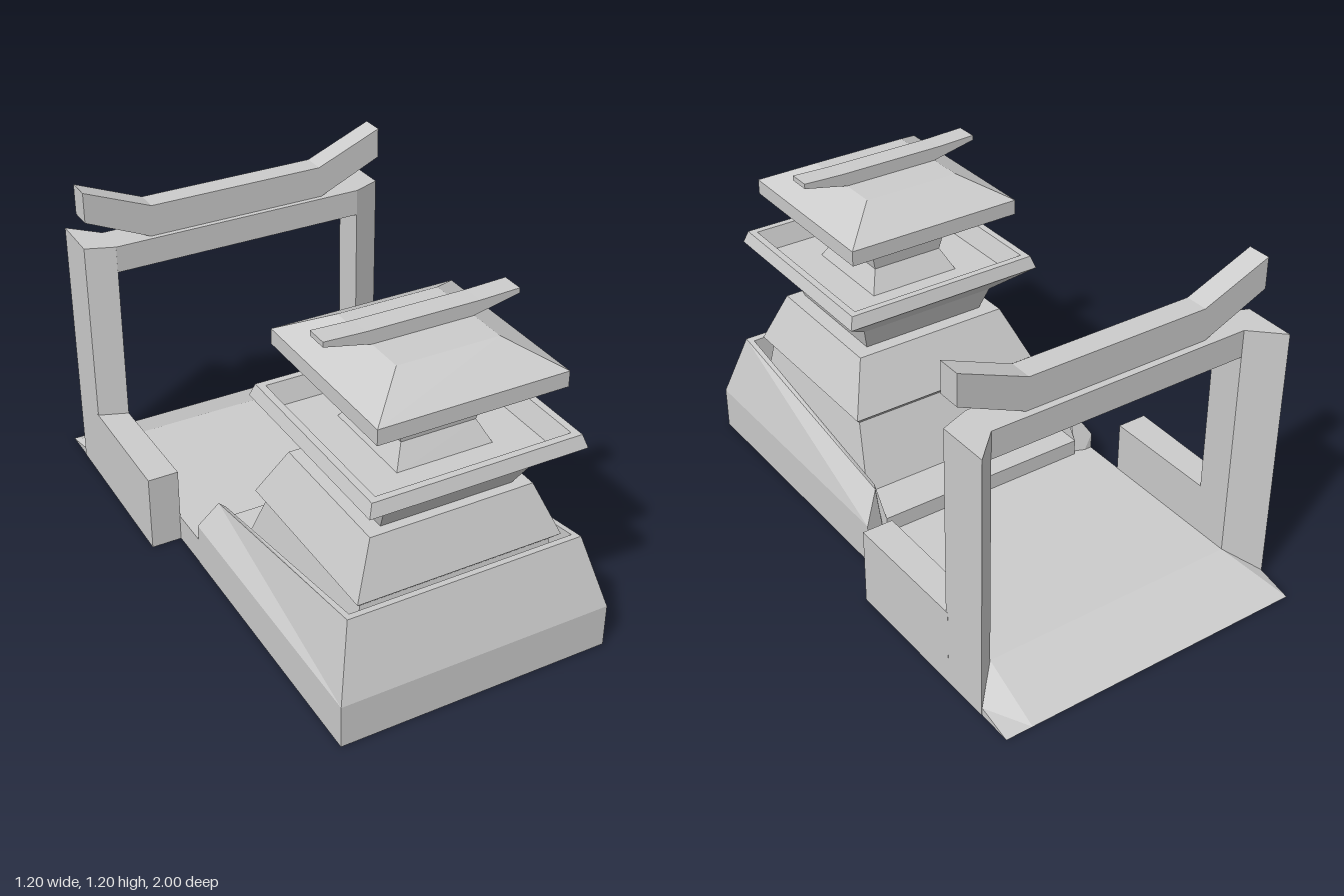
import * as THREE from 'three';

const material = new THREE.MeshStandardMaterial({ color: 0xcccccc, flatShading: true });

// Skin a row of matching rings (counter-clockwise seen from the end), capped at both ends
function loft(rings) {
  const pos = [];
  const tri = (a, b, c) => pos.push(...a, ...b, ...c);
  for (let r = 0; r < rings.length - 1; r++) {
    const a = rings[r], b = rings[r + 1];
    for (let i = 0; i < a.length; i++) {
      const j = (i + 1) % a.length;
      tri(a[i], a[j], b[j]);
      tri(a[i], b[j], b[i]);
    }
  }
  const first = rings[0], last = rings[rings.length - 1];
  for (let i = 1; i < first.length - 1; i++) {
    tri(first[0], first[i + 1], first[i]);
    tri(last[0], last[i], last[i + 1]);
  }
  const g = new THREE.BufferGeometry();
  g.setAttribute('position', new THREE.Float32BufferAttribute(pos, 3));
  g.computeVertexNormals();
  return g;
}

// Stack of rectangles, each level given as [y, half width, back z, front z]
const stack = (levels) => loft(levels.map(([y, x, z0, z1]) =>
  [[-x, y, z1], [x, y, z1], [x, y, z0], [-x, y, z0]]));

// Upright prism on an [x, z] footprint, mirrored for side = -1
function prism(footprint, y0, y1, side) {
  const pts = footprint.map(([x, z]) => [x * side, z]);
  if (side < 0) pts.reverse();
  return loft([y0, y1].map((y) => pts.map(([x, z]) => [x, y, z])));
}

// Front-view outline with depth from z0 to z1
function beam(points, z0, z1) {
  const shape = new THREE.Shape(points.map(([x, y]) => new THREE.Vector2(x, y)));
  return new THREE.ExtrudeGeometry(shape, { depth: z1 - z0, bevelEnabled: false }).translate(0, 0, z0);
}

const mirrorRing = (ring) => ring.map(([x, y, z]) => [-x, y, z]);

export function createModel() {
  const model = new THREE.Group();
  const add = (name, geometry) => {
    const mesh = new THREE.Mesh(geometry, material);
    mesh.name = name;
    model.add(mesh);
  };

  // Walkway and the ramp at its back
  add('walkway', stack([[0, 0.487, -0.77, 0], [0.1, 0.487, -0.77, 0]]));
  const rampMid = [[0.485, 0, -0.77], [0.485, 0, -1], [0.485, 0.1, -0.77]];
  const rampEnd = [[0.585, 0, -0.87], [0.585, 0, -1], [0.585, 0.03, -0.87]];
  add('ramp', loft([mirrorRing(rampEnd), mirrorRing(rampMid), rampMid, rampEnd]));

  // U-shaped sloping wall around the tower foot
  const wallBack = [[0.41, 0, -0.04], [0.488, 0, -0.04], [0.488, 0.16, -0.04],
    [0.425, 0.265, 0.005], [0.41, 0.262, 0.035], [0.41, 0.16, -0.04]];
  const wallFront = [[0.41, 0, 0.89], [0.497, 0, 1], [0.497, 0.16, 1],
    [0.43, 0.413, 0.915], [0.41, 0.41, 0.89], [0.41, 0.16, 0.89]];
  add('baseWall', loft([wallBack, wallFront, mirrorRing(wallFront), mirrorRing(wallBack)]));
  add('baseFloor', stack([[0, 0.41, -0.04, 0.89], [0.16, 0.41, -0.04, 0.89]]));

  // Tower: foot and lower storey
  add('towerFoot', stack([
    [0.15, 0.39, 0.12, 0.885], [0.39, 0.35, 0.225, 0.85],
    [0.42, 0.375, 0.195, 0.88], [0.605, 0.297, 0.29, 0.815],
  ]));

  // Middle storey flaring into an open, hollow balcony
  add('balcony', stack([
    [0.605, 0.24, 0.34, 0.78], [0.69, 0.265, 0.31, 0.835],
    [0.795, 0.385, 0.19, 0.96], [0.84, 0.37, 0.205, 0.945],
    [0.84, 0.345, 0.23, 0.92], [0.765, 0.32, 0.255, 0.895],
  ]));

  // Upper storey, stepped outward below the roof
  add('upperStorey', stack([
    [0.76, 0.175, 0.39, 0.76], [0.84, 0.135, 0.44, 0.715], [0.905, 0.15, 0.43, 0.725],
    [0.905, 0.165, 0.41, 0.745], [1.0, 0.19, 0.39, 0.765], [1.04, 0.19, 0.39, 0.765],
  ]));

  // Hipped roof, recessed underneath, with its ridge beam
  add('roof', stack([
    [1.035, 0.285, 0.3, 0.855], [1.0, 0.3, 0.285, 0.87], [1.0, 0.332, 0.25, 0.905],
    [1.055, 0.332, 0.25, 0.905], [1.14, 0.18, 0.4, 0.75],
  ]));
  add('ridgeBeam', beam([[-0.18, 1.14], [0.18, 1.14], [0.345, 1.175], [0.345, 1.193],
    [0.2, 1.188], [-0.2, 1.188], [-0.345, 1.193], [-0.345, 1.175]], 0.53, 0.61));

  // Gate: swept-back posts and low side walls
  for (const side of [1, -1]) {
    const label = side > 0 ? 'left' : 'right';
    add(label + 'GatePost', prism(
      [[0.485, -0.64], [0.59, -0.68], [0.587, -0.87], [0.485, -0.77]], 0, 0.98, side));
    add(label + 'SideWall', prism(
      [[0.485, -0.2], [0.598, -0.2], [0.59, -0.69], [0.485, -0.69]], 0, 0.29, side));
  }

  // Gate lintel and upswept top beam
  add('gateLintel', stack([[0.88, 0.486, -0.77, -0.64], [0.98, 0.486, -0.77, -0.64]]));
  add('gateTopBeam', beam([[-0.34, 0.978], [0.34, 0.978], [0.585, 1.087], [0.585, 1.2],
    [0.335, 1.097], [-0.335, 1.097], [-0.585, 1.2], [-0.585, 1.087]], -0.745, -0.66));

  return model;
}
